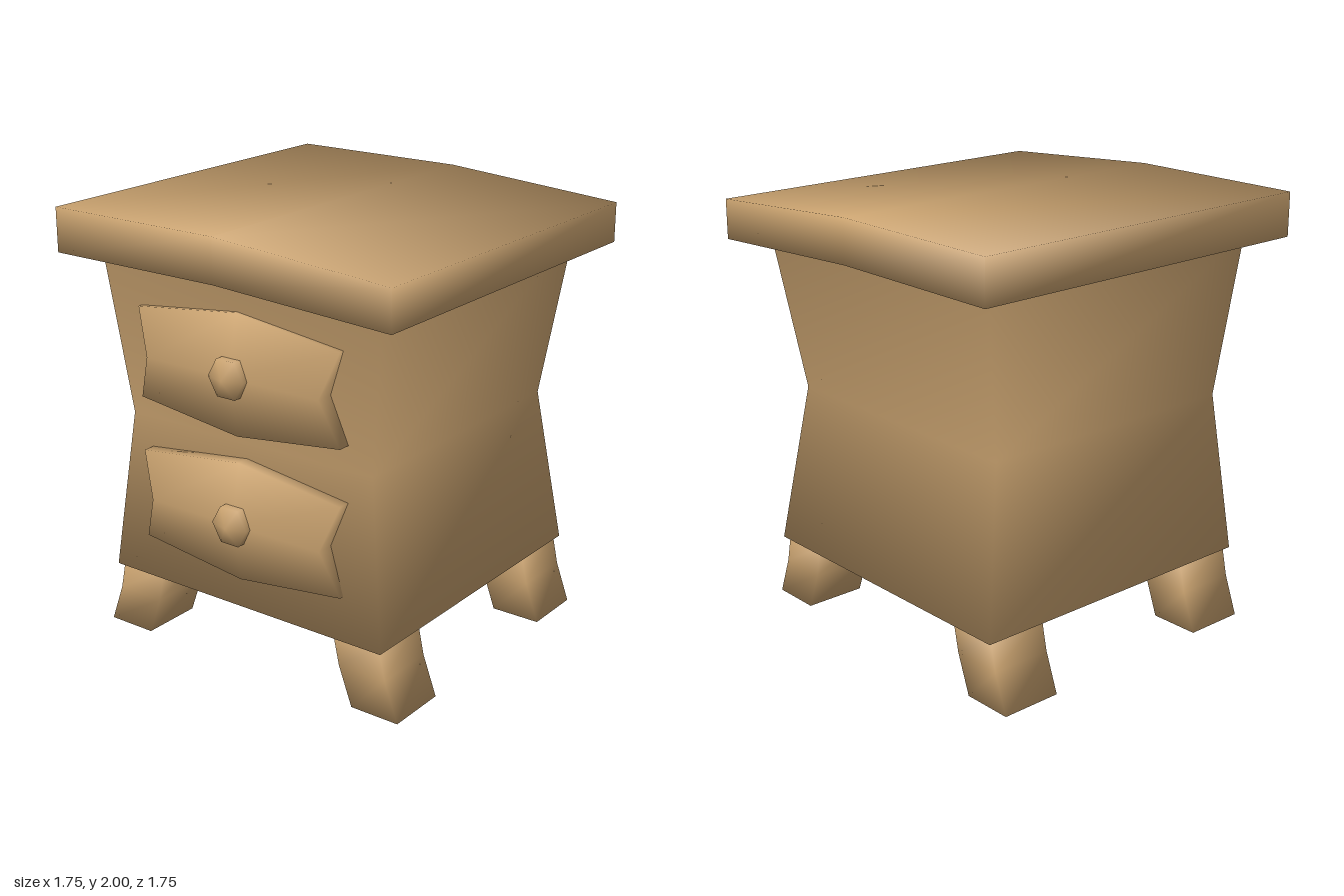
import * as THREE from 'three';

const wood = new THREE.MeshStandardMaterial({ color: 0xc9a26f });
wood.name = 'wood';

// Smooth normals: angle-weighted average of all faces meeting at a point
function smooth(geo) {
  const pos = geo.attributes.position, idx = geo.index.array, sums = new Map();
  const key = i => [pos.getX(i), pos.getY(i), pos.getZ(i)].map(n => Math.round(n * 1e4)).join();
  const p = [0, 1, 2].map(() => new THREE.Vector3());
  for (let t = 0; t < idx.length; t += 3) {
    p.forEach((q, k) => q.fromBufferAttribute(pos, idx[t + k]));
    const n = p[1].clone().sub(p[0]).cross(p[2].clone().sub(p[0]));
    if (n.length() < 1e-8) continue;
    n.normalize();
    for (let k = 0; k < 3; k++) {
      const e = p[(k + 1) % 3].clone().sub(p[k]), f = p[(k + 2) % 3].clone().sub(p[k]);
      const id = key(idx[t + k]);
      if (!sums.has(id)) sums.set(id, new THREE.Vector3());
      sums.get(id).addScaledVector(n, e.angleTo(f));
    }
  }
  for (let i = 0; i < pos.count; i++) {
    const n = (sums.get(key(i)) || new THREE.Vector3(0, 1, 0)).clone().normalize();
    geo.attributes.normal.setXYZ(i, n.x, n.y, n.z);
  }
  return geo;
}

// Box whose grid points (u, v, w from -1 to 1) are moved by a rule
function warpedBox(name, segs, rule, openTop = false) {
  const geo = new THREE.BoxGeometry(2, 2, 2, ...segs), pos = geo.attributes.position;
  if (openTop) {
    const g = geo.groups[2];
    geo.setIndex([...geo.index.array].filter((_, i) => i < g.start || i >= g.start + g.count));
  }
  geo.clearGroups();
  for (let i = 0; i < pos.count; i++) {
    pos.setXYZ(i, ...rule(...[pos.getX(i), pos.getY(i), pos.getZ(i)].map(Math.round)));
  }
  const mesh = new THREE.Mesh(smooth(geo), wood);
  mesh.name = name;
  return mesh;
}

export function createModel() {
  const group = new THREE.Group();
  group.name = 'nightstand';

  // Cabinet with a pinched waist, open under the top board
  group.add(warpedBox('cabinet', [1, 2, 1], (u, v, w) => v === 0
    ? [u * 0.655, 1.06, w > 0 ? 0.68 : -0.63]
    : [u * 0.743, v > 0 ? 1.81 : 0.312, w * 0.743], true));

  // Top board, sagging on one side
  group.add(warpedBox('topBoard', [2, 1, 1], (u, v, w) => [
    u * 0.877,
    v > 0 ? (u > 0 ? 1.937 : 2) : (u > 0 ? 1.755 : 1.8),
    w * 0.877,
  ]));

  // Drawer fronts with hexagonal knobs
  for (const [side, cy] of [['upper', 1.382], ['lower', 0.718]]) {
    group.add(warpedBox(side + 'Drawer', [2, 2, 1], (u, v, w) => [
      u * (v === 0 ? 0.463 : 0.54),
      cy + v * (u === 0 ? 0.272 : 0.206),
      w < 0 ? 0.64 : (v === 0 ? 0.79 : 0.747),
    ]));
    const profile = [[0.095, 0.75], [0.095, 0.815], [0, 0.845]].map(p => new THREE.Vector2(...p));
    const knob = new THREE.Mesh(smooth(new THREE.LatheGeometry(profile, 6, Math.PI / 2)), wood);
    knob.name = side + 'Knob';
    knob.rotation.x = Math.PI / 2;
    knob.position.y = cy;
    group.add(knob);
  }

  // Splayed, slightly bent legs
  const legX = { '-1': 0.698, 0: 0.632, 1: 0.6 };
  const legY = { '-1': 0, 0: 0.18, 1: 0.33 };
  for (const sx of [1, -1]) for (const sz of [1, -1]) {
    const name = (sz > 0 ? 'front' : 'back') + (sx > 0 ? 'Left' : 'Right') + 'Leg';
    group.add(warpedBox(name, [1, 2, 1], (u, v, w) => [
      sx * legX[v] + u * 0.119, legY[v], sz * 0.575 + w * 0.145,
    ]));
  }
  return group;
}
